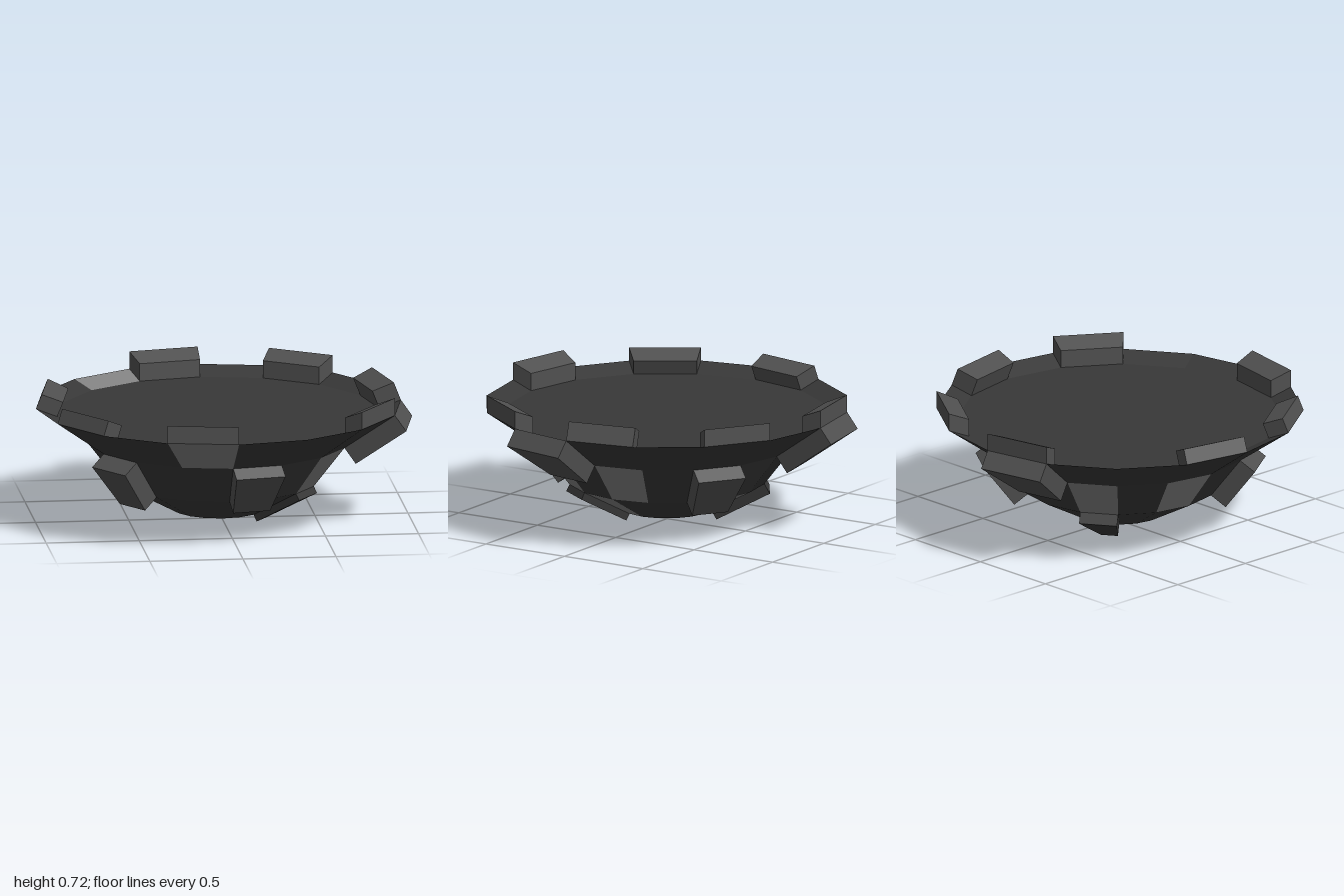
import * as THREE from 'three';

const SIDES = 16;
const CENTRE = { x: -0.02, z: 0.015 };
// [radius, height] from the bottom tip, up the wall, over the rim to the floor
const PROFILE = [[0, 0.015], [0.24, 0.055], [0.53, 0.21], [0.70, 0.43], [0.98, 0.625], [0.865, 0.58], [0, 0.58]];
const TIP = 0, LOWER = 1, MIDDLE = 2, UPPER = 3, RIM = 4;

const materials = {
  dark: new THREE.MeshStandardMaterial({ color: 0x383838, flatShading: true }),
  light: new THREE.MeshStandardMaterial({ color: 0x808080, flatShading: true }),
  mid: new THREE.MeshStandardMaterial({ color: 0x505050, flatShading: true }),
};

function point(ring, k) {
  const [r, y] = PROFILE[ring];
  const a = (k / SIDES) * Math.PI * 2;
  return new THREE.Vector3(CENTRE.x + r * Math.sin(a), y, CENTRE.z + r * Math.cos(a));
}

// Corners of one panel, counter-clockwise from outside
function panel(ring, k) {
  return [point(ring, k), point(ring, k + 1), point(ring + 1, k + 1), point(ring + 1, k)];
}

function quadMesh(quads, material, name) {
  const positions = [];
  for (const [a, b, c, d] of quads) {
    for (const tri of [[a, b, c], [a, c, d]]) {
      if (new THREE.Triangle(...tri).getArea() < 1e-6) continue;
      for (const p of tri) positions.push(p.x, p.y, p.z);
    }
  }
  const geometry = new THREE.BufferGeometry();
  geometry.setAttribute('position', new THREE.Float32BufferAttribute(positions, 3));
  geometry.computeVertexNormals();
  const mesh = new THREE.Mesh(geometry, material);
  mesh.name = name;
  return mesh;
}

// A panel pushed out into a block, along its normal or straight up
function block(ring, k, height, material, name, upright = false) {
  const base = panel(ring, k);
  const offset = new THREE.Vector3(0, 1, 0);
  if (!upright) {
    const d1 = base[2].clone().sub(base[0]);
    const d2 = base[3].clone().sub(base[1]);
    offset.crossVectors(d1, d2).normalize();
  }
  offset.multiplyScalar(height);
  const top = base.map((p) => p.clone().add(offset));
  const quads = [top];
  for (let i = 0; i < 4; i++) {
    const j = (i + 1) % 4;
    quads.push([base[i], base[j], top[j], top[i]]);
  }
  return quadMesh(quads, material, name);
}

export function createModel() {
  const model = new THREE.Group();
  model.name = 'facetedBowl';

  // Panels of a lighter tone, listed per ring
  const lightPanels = {
    [TIP]: [2, 5], [LOWER]: [3, 7], [MIDDLE]: [2, 4, 9, 11], [UPPER]: [15], [RIM]: [9],
  };
  const shell = [], patches = [];
  for (let ring = 0; ring < PROFILE.length - 1; ring++) {
    for (let k = 0; k < SIDES; k++) {
      const isLight = lightPanels[ring]?.includes(k);
      (isLight ? patches : shell).push(panel(ring, k));
    }
  }
  model.add(quadMesh(shell, materials.dark, 'bowlShell'));
  model.add(quadMesh(patches, materials.light, 'lightPanels'));

  // Blocks standing on the rim; some lean inwards
  for (const k of [2, 6, 8, 15]) model.add(block(RIM, k, 0.095, materials.mid, 'rimBlock', true));
  for (const [k, h] of [[4, 0.105], [11, 0.085], [13, 0.085]]) {
    model.add(block(RIM, k, h, materials.mid, 'leaningRimBlock'));
  }

  // Blocks pushed out of the wall
  for (const k of [3, 8]) model.add(block(UPPER, k, 0.105, materials.mid, 'upperWallBlock'));
  for (const [k, h] of [[0, 0.08], [6, 0.09], [13, 0.1]]) {
    model.add(block(MIDDLE, k, h, materials.mid, 'middleWallBlock'));
  }
  for (const [k, h] of [[2, 0.04], [9, 0.062]]) {
    model.add(block(LOWER, k, h, materials.dark, 'lowerWallBlock'));
  }
  return model;
}
